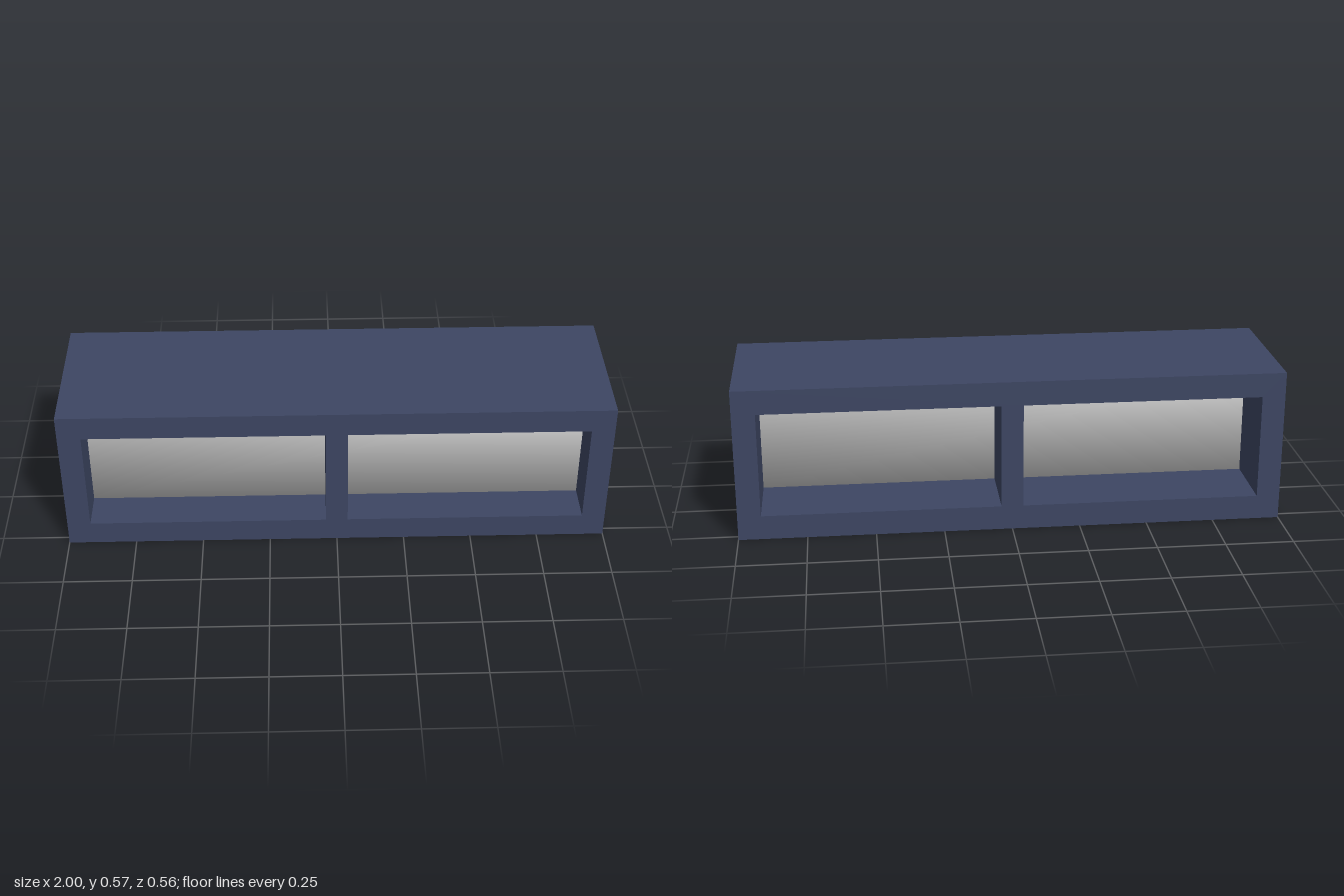
import * as THREE from 'three';

const HEIGHT = 0.57, DEPTH = 0.56;
const OPEN = { inner: 0.04, outer: 0.915, bottom: 0.09, top: 0.48 };

// Traces a rectangle into a Shape or Path
function rect(path, x0, y0, x1, y1) {
  path.moveTo(x0, y0);
  path.lineTo(x1, y0);
  path.lineTo(x1, y1);
  path.lineTo(x0, y1);
  path.closePath();
  return path;
}

export function createModel() {
  const model = new THREE.Group();
  model.name = 'twoBayShelf';

  // Frame: solid block with two openings running front to back
  const outline = rect(new THREE.Shape(), -1, 0, 1, HEIGHT);
  for (const side of [-1, 1]) {
    const a = side * OPEN.inner, b = side * OPEN.outer;
    outline.holes.push(rect(new THREE.Path(), Math.min(a, b), OPEN.bottom, Math.max(a, b), OPEN.top));
  }
  const frameGeometry = new THREE.ExtrudeGeometry(outline, { depth: DEPTH, bevelEnabled: false });
  frameGeometry.translate(0, 0, -DEPTH / 2);
  const frame = new THREE.Mesh(frameGeometry, new THREE.MeshStandardMaterial({ color: 0x3d4663 }));
  frame.name = 'frame';
  model.add(frame);

  // Inner panel: closes both openings, its corners shaded smoothly
  const zBack = -0.01, zFront = 0.13;
  const panelGeometry = new THREE.BoxGeometry(2 * OPEN.outer, OPEN.top - OPEN.bottom, zFront - zBack);
  const { position, normal } = panelGeometry.attributes;
  const n = new THREE.Vector3();
  for (let i = 0; i < position.count; i++) {
    n.set(Math.sign(position.getX(i)), Math.sign(position.getY(i)), Math.sign(position.getZ(i))).normalize();
    normal.setXYZ(i, n.x, n.y, n.z);
  }
  const panel = new THREE.Mesh(panelGeometry, new THREE.MeshStandardMaterial({ color: 0xcccccc }));
  panel.name = 'innerPanel';
  panel.position.set(0, (OPEN.top + OPEN.bottom) / 2, (zFront + zBack) / 2);
  model.add(panel);

  return model;
}
